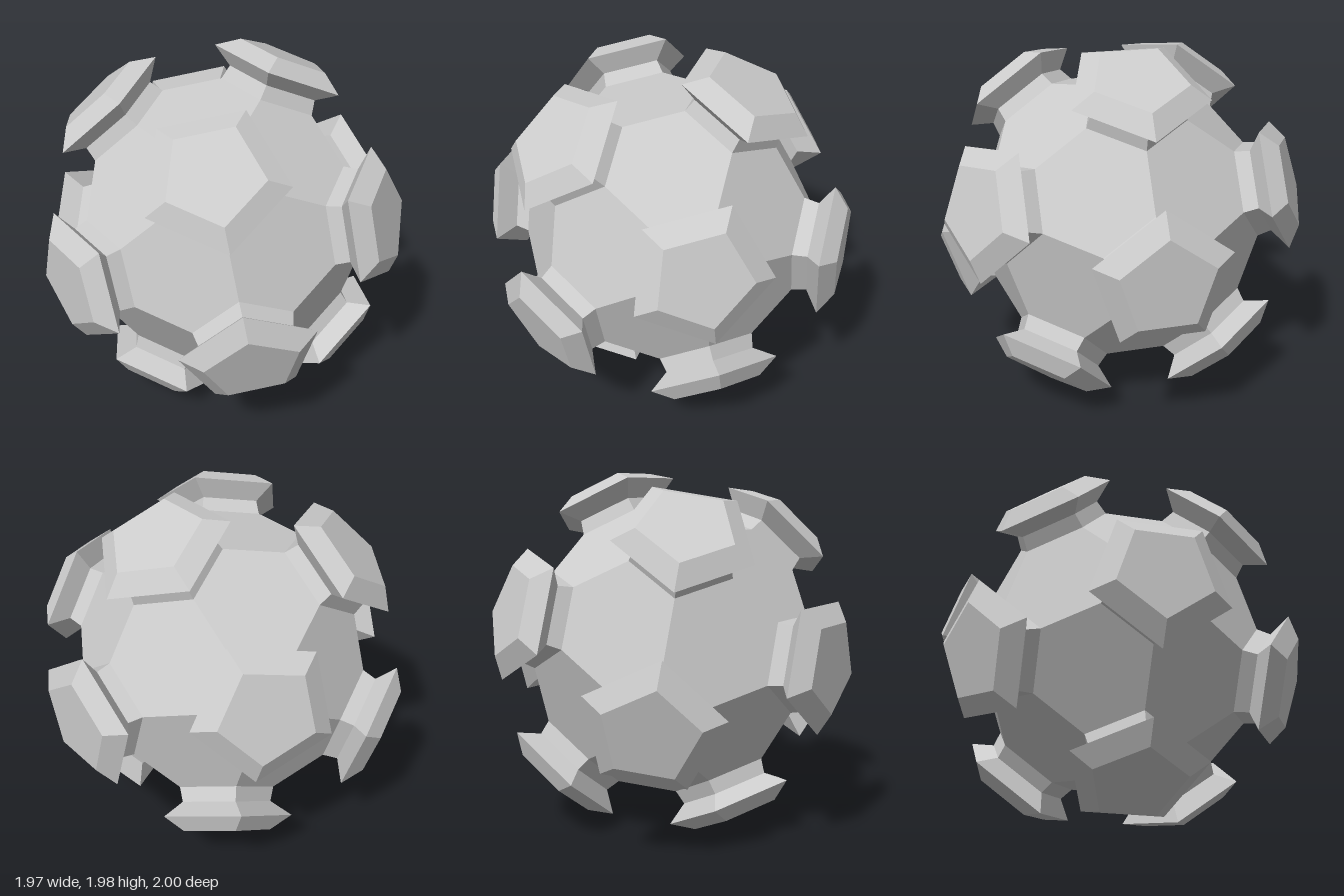
import * as THREE from 'three';
import { ConvexGeometry } from 'three/addons/geometries/ConvexGeometry.js';

const CENTRE_Y = 0.988;
const FACE = 0.765;              // distance from the centre to a pentagon face
const EDGE = FACE / 2.327;       // edge of the truncated icosahedron
const R = EDGE * 0.8507;         // circumradius of a pentagon face

// Twelve icosahedron directions: front and back poles plus two staggered rings
function icosahedronAxes() {
  const axes = [new THREE.Vector3(0, 0, 1), new THREE.Vector3(0, 0, -1)];
  for (let i = 0; i < 5; i++) {
    const a = -Math.PI / 2 + (i * 2 * Math.PI) / 5;
    const v = new THREE.Vector3(Math.cos(a) * 2, Math.sin(a) * 2, 1).normalize();
    axes.push(v, v.clone().negate());
  }
  return axes;
}

export function createModel() {
  const group = new THREE.Group();
  group.name = 'knobbedBall';
  const material = new THREE.MeshStandardMaterial({ color: 0xcccccc, flatShading: true });
  const axes = icosahedronAxes();

  // Five-sided knob profile: narrowing neck, flared rim, flat top
  const profile = [
    [R, FACE], [0.262, 0.845], [0.378, 0.922], [0.258, 1], [0, 1],
  ].map(([r, h]) => new THREE.Vector2(r, h));
  const knobGeometry = new THREE.LatheGeometry(profile, 5);

  const bodyPoints = [];
  const knobs = new THREE.Group();
  knobs.name = 'knobs';

  axes.forEach((axis, i) => {
    // One corner of each pentagon points toward a neighbouring axis
    const neighbour = axes.find((v) => Math.abs(v.dot(axis) - 0.4472) < 0.01);
    const corner = neighbour.clone().addScaledVector(axis, -neighbour.dot(axis)).normalize();
    const side = new THREE.Vector3().crossVectors(axis, corner);

    const knob = new THREE.Mesh(knobGeometry, material);
    knob.name = `knob${i + 1}`;
    knob.quaternion.setFromRotationMatrix(new THREE.Matrix4().makeBasis(side, axis, corner));
    knobs.add(knob);

    // Body corners around this pentagon
    for (let k = 0; k < 5; k++) {
      const direction = corner.clone().applyAxisAngle(axis, (k * 2 * Math.PI) / 5);
      bodyPoints.push(axis.clone().multiplyScalar(FACE).addScaledVector(direction, R));
    }
  });

  // Truncated icosahedron core
  const body = new THREE.Mesh(new ConvexGeometry(bodyPoints), material);
  body.name = 'body';

  group.add(body, knobs);
  body.position.y = knobs.position.y = CENTRE_Y;
  return group;
}
